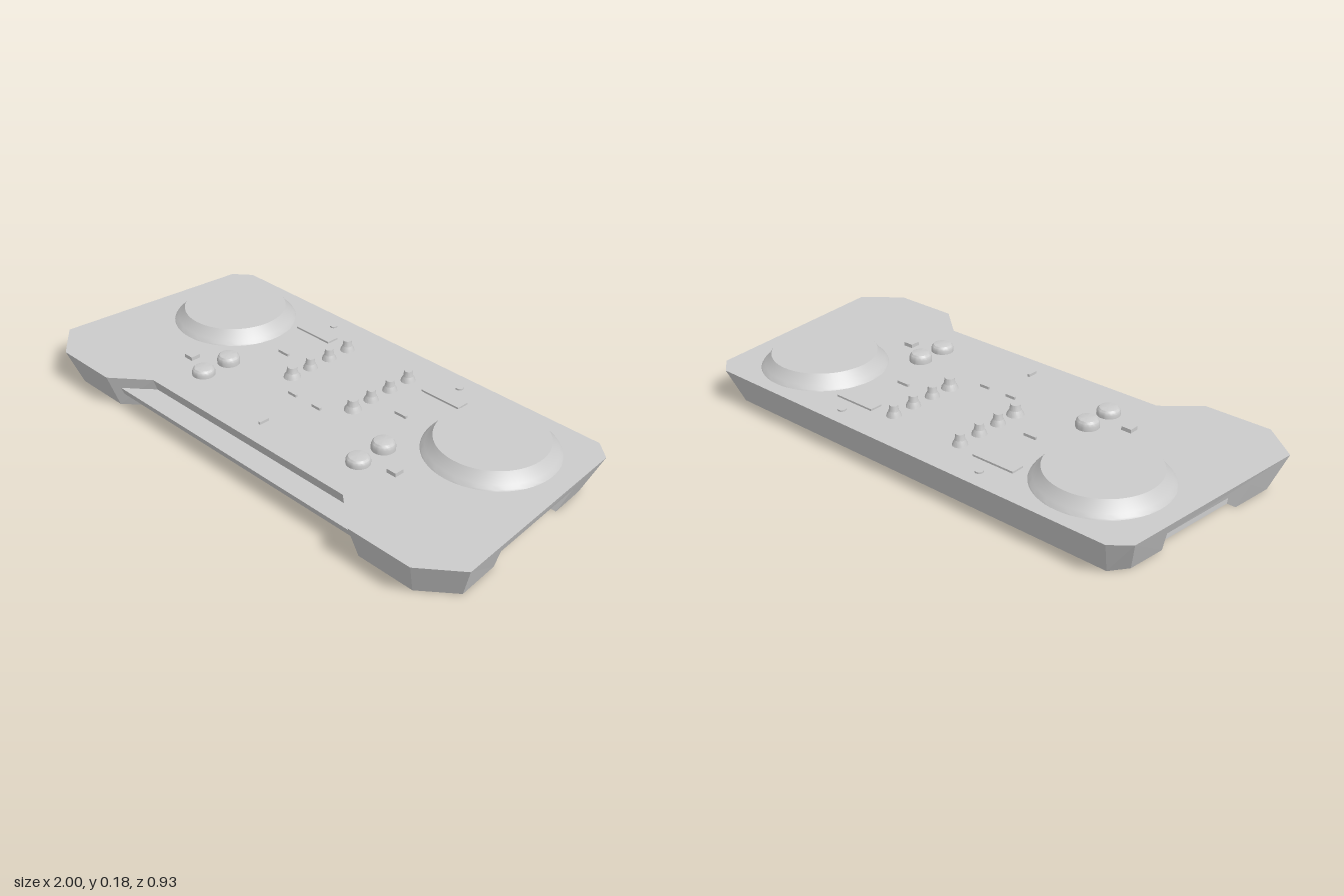
import * as THREE from 'three';
import { toCreasedNormals } from 'three/addons/utils/BufferGeometryUtils.js';

const DECK = 0.133; // height of the top plate
const material = new THREE.MeshStandardMaterial({ color: 0xcccccc, side: THREE.DoubleSide });

function addMesh(parent, name, geometry, x = 0, y = 0, z = 0) {
  const mesh = new THREE.Mesh(geometry, material);
  mesh.name = name;
  mesh.position.set(x, y, z);
  parent.add(mesh);
  return mesh;
}

// Flat quads, corners counter-clockwise seen from outside
function quads(list) {
  const pos = [];
  for (const [a, b, c, d] of list) pos.push(...a, ...b, ...c, ...a, ...c, ...d);
  const g = new THREE.BufferGeometry();
  g.setAttribute('position', new THREE.Float32BufferAttribute(pos, 3));
  g.computeVertexNormals();
  return g;
}

// Turned part from [radius, height] pairs
function turned(profile, segments) {
  const pts = profile.map(([r, y]) => new THREE.Vector2(r, y));
  return toCreasedNormals(new THREE.LatheGeometry(pts, segments), 0.45);
}

// Box standing on the deck
function deckBox(parent, name, w, h, d, x, z) {
  return addMesh(parent, name, new THREE.BoxGeometry(w, h, d), x, DECK + h / 2, z);
}

function mirrored(half) {
  return [...half, ...half.map(([x, z]) => [-x, z]).reverse()];
}

function buildBody() {
  const body = new THREE.Group();
  body.name = 'body';
  const top = mirrored([[0.865, -0.465], [0.93, -0.41], [1, 0.35], [0.865, 0.46], [0.61, 0.46], [0.48, 0.35]]);
  const bottom = mirrored([[0.835, -0.41], [0.88, -0.35], [0.95, 0.315], [0.835, 0.41], [0.61, 0.41], [0.49, 0.3]]);

  // Top plate
  const plate = new THREE.ShapeGeometry(new THREE.Shape(top.map(([x, z]) => new THREE.Vector2(x, -z))));
  plate.rotateX(-Math.PI / 2);
  addMesh(body, 'topPlate', plate, 0, DECK, 0);

  // Tapered walls of the shell, open underneath; the two long sides are made separately
  const n = top.length, walls = [];
  for (let i = 0; i < n; i++) {
    if (i === 1 || i === n - 3) continue;
    const j = (i + 1) % n;
    const up = (k) => [top[k][0], DECK, top[k][1]];
    const low = (k) => [bottom[k][0], 0, bottom[k][1]];
    walls.push([up(i), up(j), low(j), low(i)]);
  }
  addMesh(body, 'walls', quads(walls));

  // Side walls with a hand pocket that opens downward
  for (const s of [1, -1]) {
    const wallX = (z, y) => THREE.MathUtils.lerp(0.9168 + 0.1053 * z, 0.9678 + 0.0921 * z, y / DECK);
    const outer = ([z, y]) => [s * wallX(z, y), y, z];
    const inner = ([z, y]) => [s * (0.885 + 0.1 * z), y, z];
    const facing = (list) => quads(s > 0 ? list : list.map((q) => [...q].reverse()));
    const rim = [[0.15, 0], [0.17, 0.09], [-0.24, 0.09], [-0.21, 0]];
    const backTop = [-0.41, DECK], frontTop = [0.35, DECK], frontLow = [0.315, 0], backLow = [-0.35, 0];
    addMesh(body, s > 0 ? 'leftSideWall' : 'rightSideWall', facing([
      [backTop, frontTop, rim[1], rim[2]],
      [frontTop, frontLow, rim[0], rim[1]],
      [backLow, backTop, rim[2], rim[3]],
    ].map((q) => q.map(outer))));
    const pocket = [[rim[3], rim[2], rim[1], rim[0]].map(inner)];
    for (let i = 0; i < 3; i++) {
      pocket.push([outer(rim[i]), inner(rim[i]), inner(rim[i + 1]), outer(rim[i + 1])]);
    }
    addMesh(body, s > 0 ? 'leftPocket' : 'rightPocket', facing(pocket));
  }

  // Ledge across the front recess, its front leaning like the walls
  const ring = (y, z, x, xBack) => [[-x, y, z], [x, y, z], [xBack, y, 0.32], [-xBack, y, 0.32]];
  const u = ring(0.085, 0.42, 0.59, 0.49), l = ring(0.055, 0.408, 0.582, 0.49);
  const ledge = [u, [...l].reverse()];
  for (let i = 0; i < 4; i++) ledge.push([l[i], l[(i + 1) % 4], u[(i + 1) % 4], u[i]]);
  addMesh(body, 'frontLedge', quads(ledge));
  return body;
}

export function createModel() {
  const model = new THREE.Group();
  model.name = 'mixingController';
  model.add(buildBody());

  const wheel = turned([[0.235, 0], [0.232, 0.005], [0.22, 0.014], [0.195, 0.05], [0, 0.05]], 64);
  const knob = turned([[0.027, 0], [0.025, 0.008], [0.018, 0.02], [0.015, 0.042], [0, 0.042]], 24);
  const button = turned([[0.042, 0], [0.042, 0.013], [0.039, 0.021], [0.033, 0.027], [0.025, 0.029], [0, 0.029]], 32);
  const stud = turned([[0.015, 0], [0.015, 0.006], [0, 0.006]], 16);

  for (const s of [1, -1]) {
    const controls = new THREE.Group();
    controls.name = s > 0 ? 'leftControls' : 'rightControls';
    model.add(controls);

    addMesh(controls, 'jogWheel', wheel, s * 0.64, DECK, -0.178);

    // Column of knobs, the front one a little wider
    [-0.305, -0.21, -0.115, -0.025].forEach((z, i) => {
      const k = addMesh(controls, 'knob', knob, s * 0.153, DECK, z);
      if (i === 3) k.scale.set(1.17, 1, 1.17);
    });

    // Round push buttons, the rear one taller
    addMesh(controls, 'frontButton', button, s * 0.39, DECK, 0.19);
    addMesh(controls, 'rearButton', button, s * 0.39, DECK, 0.072).scale.y = 1.2;

    deckBox(controls, 'squareButton', 0.04, 0.014, 0.038, s * 0.51, 0.145);
    deckBox(controls, 'volumeSlider', 0.05, 0.01, 0.01, s * 0.295, -0.115);
    deckBox(controls, 'smallSlider', 0.04, 0.01, 0.008, s * 0.06, 0.06);
    deckBox(controls, 'displayPanel', 0.17, 0.007, 0.05, s * 0.32, -0.31);
    addMesh(controls, 'stud', stud, s * 0.317, DECK, -0.395);
  }

  // Centre slider
  deckBox(model, 'crossSlider', 0.008, 0.01, 0.04, 0, 0.25);
  return model;
}
